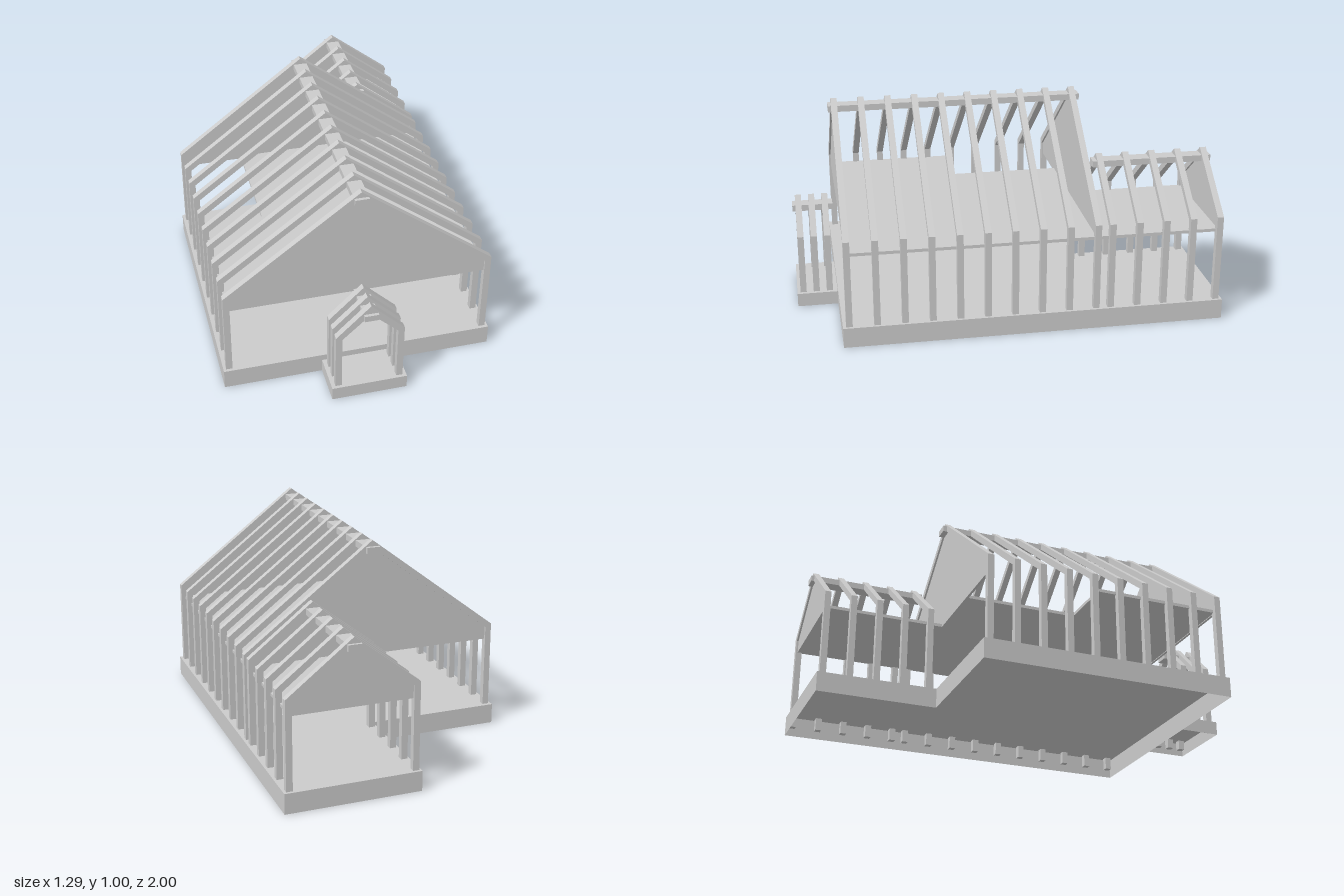
import * as THREE from 'three';

const mat = new THREE.MeshStandardMaterial({ color: 0xcccccc, side: THREE.DoubleSide, flatShading: true });
const STEP = 0.129; // spacing of the main frames
const T = 0.03; // timber thickness

const shapeOf = pts => new THREE.Shape(pts.map(p => new THREE.Vector2(p[0], p[1])));

function add(parent, name, geometry, x = 0, y = 0, z = 0) {
  const mesh = new THREE.Mesh(geometry, mat);
  mesh.name = name;
  mesh.position.set(x, y, z);
  parent.add(mesh);
}

// Upright slab of given thickness centred on z = 0
const upright = (pts, depth) =>
  new THREE.ExtrudeGeometry(shapeOf(pts), { depth, bevelEnabled: false }).translate(0, 0, -depth / 2);

// Hollow base: floor with skirt walls, open underneath; points are [x, z]
function base(parent, name, pts, height) {
  const group = new THREE.Group();
  group.name = name;
  add(group, 'floor', new THREE.ShapeGeometry(shapeOf(pts)).rotateX(Math.PI / 2), 0, height, 0);
  pts.forEach(([x, z], i) => {
    const [x2, z2] = pts[(i + 1) % pts.length];
    const dx = x2 - x, dz = z2 - z;
    const wall = new THREE.PlaneGeometry(Math.hypot(dx, dz), height).rotateY(Math.atan2(-dz, dx));
    add(group, 'skirt', wall, (x + x2) / 2, height / 2, (z + z2) / 2);
  });
  parent.add(group);
}

// Row of gabled portal frames with a ridge beam running through them
function frameRow(parent, name, o) {
  const group = new THREE.Group();
  group.name = name;
  group.position.x = o.x;
  const w = o.half, v = w - T;
  const portal = upright([
    [-w, o.foot], [-w, o.eave], [0, o.apex], [w, o.eave], [w, o.foot],
    [v, o.foot], [v, o.innerEave], [0, o.innerApex], [-v, o.innerEave], [-v, o.foot],
  ], T);
  for (let i = 0; i < o.count; i++) add(group, 'portalFrame', portal, 0, 0, o.z - i * o.step);
  const [z0, z1] = o.ridge;
  add(group, 'ridgeBeam', new THREE.BoxGeometry(0.066, T, z1 - z0), 0, o.innerApex - 0.01, (z0 + z1) / 2);
  // Solid triangular infill at the gable ends
  const panel = upright([[-v, 0.44], [v, 0.44], [v, o.innerEave], [0, o.innerApex], [-v, o.innerEave]], 0.012);
  for (const z of o.gables) add(group, 'gablePanel', panel, 0, 0, z);
  parent.add(group);
}

export function createModel() {
  const model = new THREE.Group();
  model.name = 'timberFrameHouse';

  base(model, 'houseBase', [[-0.643, 0.805], [0.643, 0.805], [0.643, -1], [0, -1], [0, -0.42], [-0.643, -0.42]], 0.097);
  base(model, 'porchBase', [[-0.178, 1], [0.178, 1], [0.178, 0.805], [-0.178, 0.805]], 0.066);

  const lastMain = 0.775 - 9 * STEP, lastWing = -0.455 - 4 * STEP;
  frameRow(model, 'mainFrames', {
    x: 0, half: 0.63, foot: 0.035, eave: 0.518, apex: 1, innerEave: 0.503, innerApex: 0.965,
    z: 0.775, step: STEP, count: 10, ridge: [-0.42, 0.805], gables: [0.775, lastMain],
  });
  frameRow(model, 'wingFrames', {
    x: 0.32, half: 0.31, foot: 0.035, eave: 0.518, apex: 0.76, innerEave: 0.503, innerApex: 0.725,
    z: -0.455, step: STEP, count: 5, ridge: [-1, -0.42], gables: [lastWing],
  });
  frameRow(model, 'porchFrames', {
    x: 0, half: 0.16, foot: 0.02, eave: 0.358, apex: 0.517, innerEave: 0.345, innerApex: 0.468,
    z: 0.97, step: 0.064, count: 3, ridge: [0.805, 1], gables: [],
  });

  // Attic floor with an open corner over the double-height room
  const attic = new THREE.ExtrudeGeometry(shapeOf([
    [-0.61, 0.765], [0.61, 0.765], [0.61, lastWing], [0.03, lastWing],
    [0.03, lastMain], [-0.32, lastMain], [-0.32, 0.155], [-0.61, 0.155],
  ]), { depth: 0.015, bevelEnabled: false }).rotateX(Math.PI / 2);
  add(model, 'atticFloor', attic, 0, 0.455, 0);

  return model;
}
